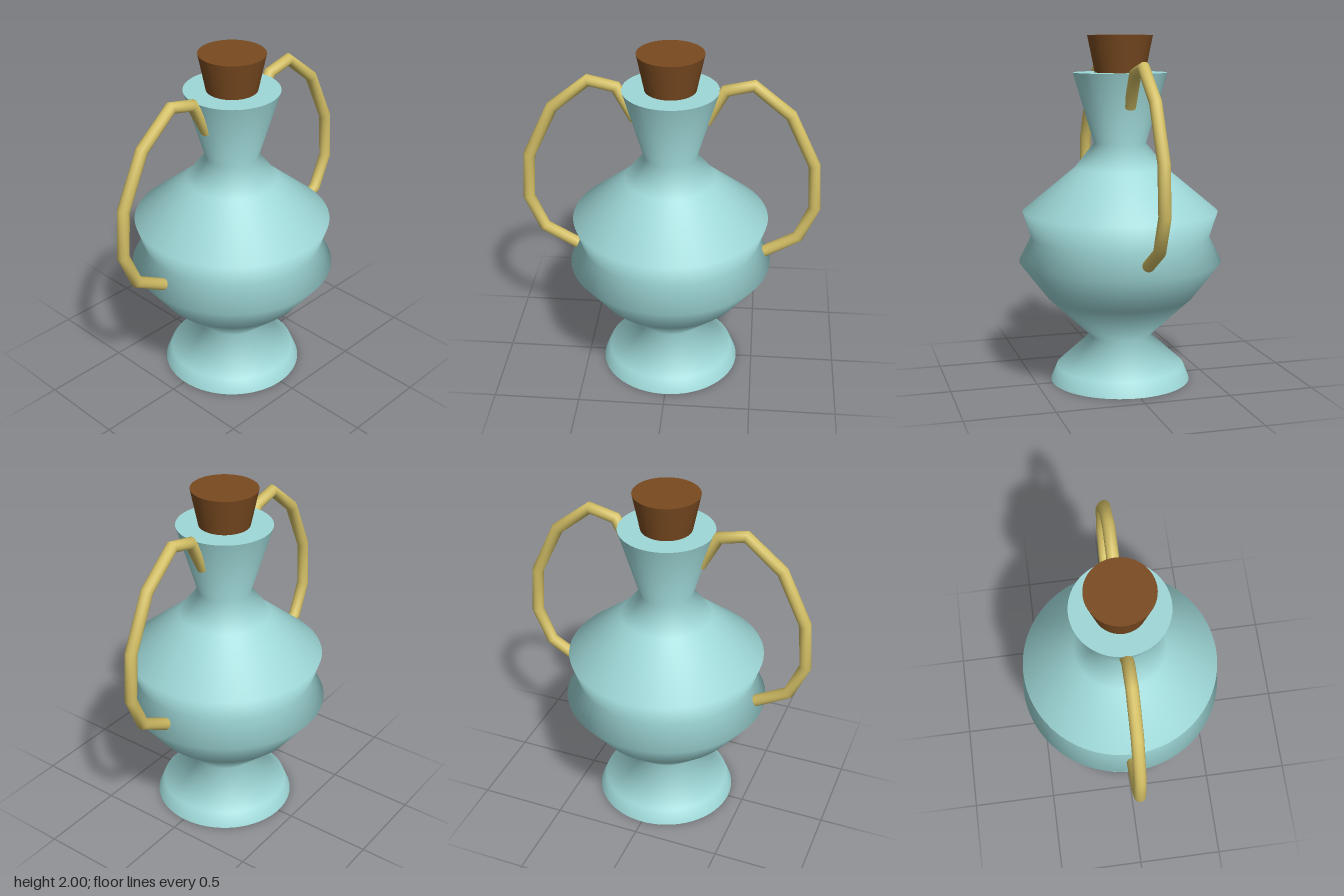
import * as THREE from 'three';

const glaze = new THREE.MeshStandardMaterial({ name: 'paleTealGlaze', color: 0x9fd8d8, side: THREE.DoubleSide });
const gold = new THREE.MeshStandardMaterial({ name: 'dullGold', color: 0xd4c066, side: THREE.DoubleSide });
const cork = new THREE.MeshStandardMaterial({ name: 'brownCork', color: 0x794a20 });

const TUBE = 0.034;

// Visits each knot in turn with a mitred tangent, so the handle stays angular
class KnotCurve extends THREE.Curve {
  constructor(knots) {
    super();
    this.knots = knots;
  }
  index(u) {
    return Math.round(u * (this.knots.length - 1));
  }
  getPoint(u, target = new THREE.Vector3()) {
    return target.copy(this.knots[this.index(u)]);
  }
  getPointAt(u, target) {
    return this.getPoint(u, target);
  }
  getTangentAt(u, target = new THREE.Vector3()) {
    const k = this.knots, i = this.index(u), sum = target.set(0, 0, 0);
    if (i > 0) sum.add(k[i].clone().sub(k[i - 1]).normalize());
    if (i < k.length - 1) sum.add(k[i + 1].clone().sub(k[i]).normalize());
    return sum.normalize();
  }
}

function addMesh(parent, name, geometry, material) {
  const mesh = new THREE.Mesh(geometry, material);
  mesh.name = name;
  parent.add(mesh);
  return mesh;
}

function createHandle(side, name) {
  const group = new THREE.Group();
  group.name = name;
  const knots = [
    [0.195, 1.605], [0.3, 1.793], [0.452, 1.828], [0.658, 1.66],
    [0.802, 1.36], [0.822, 1.088], [0.738, 0.89], [0.53, 0.77],
  ].map(([x, y]) => new THREE.Vector3(side * x, y, 0));
  const curve = new KnotCurve(knots);
  addMesh(group, name + 'Tube', new THREE.TubeGeometry(curve, knots.length - 1, TUBE, 16), gold);

  // Caps at both ends
  for (const u of [0, 1]) {
    const cap = addMesh(group, name + 'Cap', new THREE.CircleGeometry(TUBE, 16), gold);
    const outward = curve.getTangentAt(u).multiplyScalar(u ? 1 : -1);
    cap.position.copy(curve.getPoint(u));
    cap.quaternion.setFromUnitVectors(new THREE.Vector3(0, 0, 1), outward);
  }
  return group;
}

export function createModel() {
  const model = new THREE.Group();
  model.name = 'corkedUrn';

  // Hollow foot, double-bulged belly and flared neck in one turned profile
  const profile = [
    [0.407, 0], [0.372, 0.085], [0.175, 0.265], [0.425, 0.5], [0.585, 0.71], [0.515, 0.85],
    [0.562, 1.0], [0.26, 1.25], [0.15, 1.39], [0.268, 1.79],
  ].map(([r, y]) => new THREE.Vector2(r, y));
  addMesh(model, 'urnBody', new THREE.LatheGeometry(profile, 64), glaze);

  // Flat mouth around the stopper
  const mouth = addMesh(model, 'urnMouth', new THREE.CircleGeometry(0.268, 64), glaze);
  mouth.rotation.x = -Math.PI / 2;
  mouth.position.y = 1.79;

  // Tapered stopper, sunk slightly into the mouth
  const stopper = addMesh(model, 'stopper', new THREE.CylinderGeometry(0.186, 0.137, 0.24, 48), cork);
  stopper.position.y = 1.88;

  model.add(createHandle(1, 'leftHandle'), createHandle(-1, 'rightHandle'));
  return model;
}
